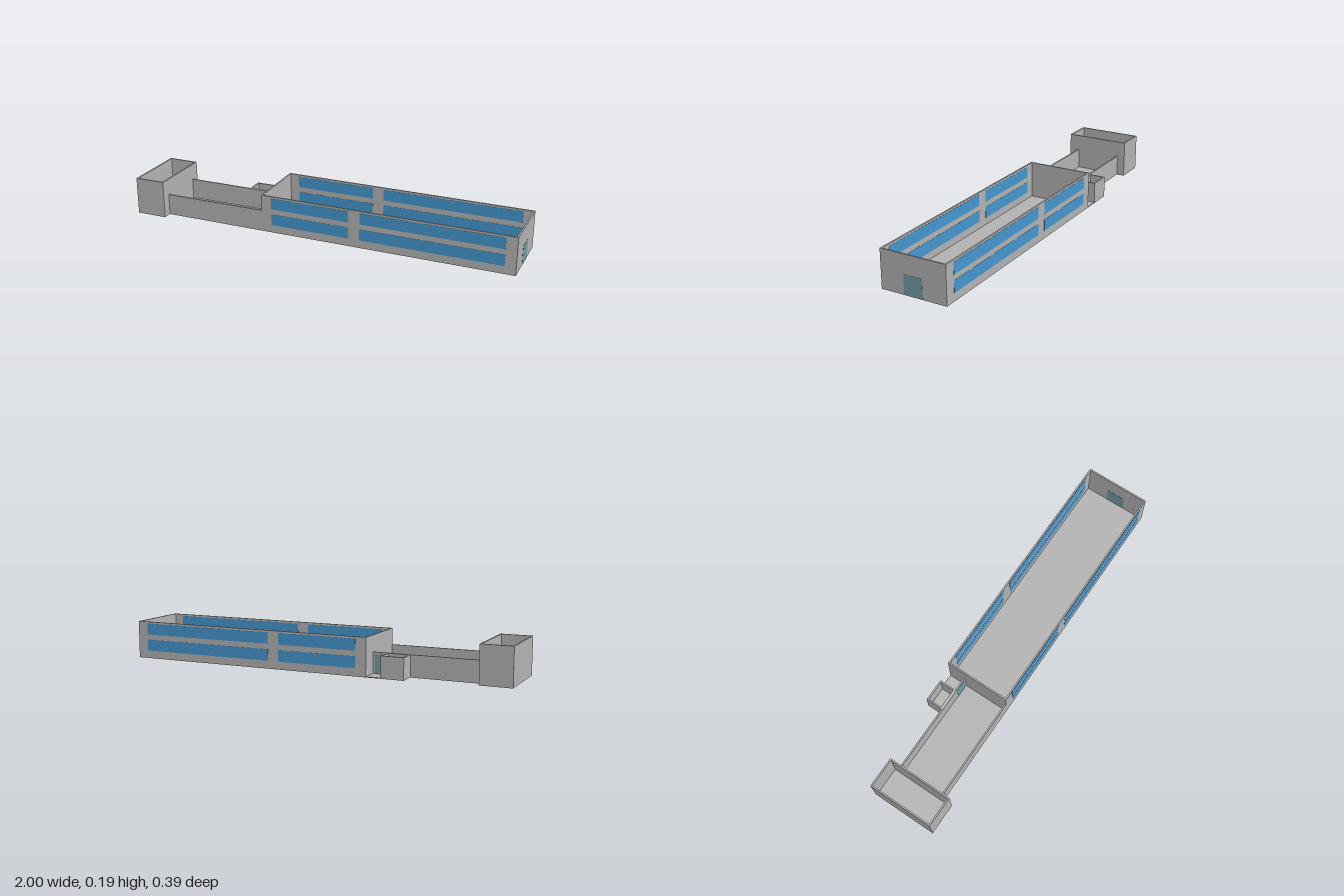
import * as THREE from 'three';

const T = 0.008; // wall and floor thickness

const concrete = new THREE.MeshStandardMaterial({ color: 0xb2b2b2 });
concrete.name = 'concrete grey';
const glass = new THREE.MeshStandardMaterial({ color: 0x4595cd });
glass.name = 'window blue';
const doorPaint = new THREE.MeshStandardMaterial({ color: 0x7499a4 });
doorPaint.name = 'door teal';

// Box given by its two opposite corners
function block(name, material, [x0, y0, z0], [x1, y1, z1]) {
  const mesh = new THREE.Mesh(new THREE.BoxGeometry(x1 - x0, y1 - y0, z1 - z0), material);
  mesh.position.set((x0 + x1) / 2, (y0 + y1) / 2, (z0 + z1) / 2);
  mesh.name = name;
  return mesh;
}

// Roofless room: floor slab and the listed walls
function room(name, x0, x1, z0, z1, h, walls = ['left', 'right', 'front', 'back']) {
  const group = new THREE.Group();
  group.name = name;
  group.add(block('floor', concrete, [x0, 0, z0], [x1, T / 2, z1]));
  const spans = {
    left: [x1 - T, x1, z0, z1],
    right: [x0, x0 + T, z0, z1],
    front: [x0, x1, z1 - T, z1],
    back: [x0, x1, z0, z0 + T],
  };
  for (const side of walls) {
    const [a, b, c, d] = spans[side];
    group.add(block(side + 'Wall', concrete, [a, 0, c], [b, h, d]));
  }
  return group;
}

export function createModel() {
  const model = new THREE.Group();
  model.name = 'building';
  const front = 0.147, back = -0.194, wingBack = -0.105;
  const tall = 0.193, low = 0.11;
  const proud = 0.0008; // how far panes stand out of each wall face

  // Main volumes
  model.add(room('mainHall', -0.3, 1, back, front, tall));
  model.add(room('lowWing', -0.84, -0.3, wingBack, front, low, ['front', 'back']));
  model.add(room('endBlock', -1, -0.84, -0.147, 0.194, tall));

  // Small rear annex: closed store room and open porch beside it
  model.add(room('storeRoom', -0.492, -0.374, back, wingBack, low));
  model.add(room('porch', -0.374, -0.3, back, wingBack, low, []));

  // Two rows of window bands on both long walls of the hall, seen inside and out
  for (const [side, z] of [['front', front - T], ['back', back]]) {
    const bands = new THREE.Group();
    bands.name = side + 'Windows';
    for (const [x0, x1] of [[-0.245, 0.17], [0.228, 0.945]]) {
      for (const [y0, y1] of [[0.04, 0.098], [0.125, 0.183]]) {
        bands.add(block('windowBand', glass, [x0, y0, z - proud], [x1, y1, z + T + proud]));
      }
    }
    model.add(bands);
  }

  // Doors
  model.add(block('endDoor', doorPaint, [1 - T - proud, 0.0005, -0.07], [1 + proud, 0.099, 0.027]));
  model.add(block('porchDoor', doorPaint,
    [-0.37, 0.0005, wingBack - proud], [-0.31, 0.099, wingBack + T + proud]));

  return model;
}
